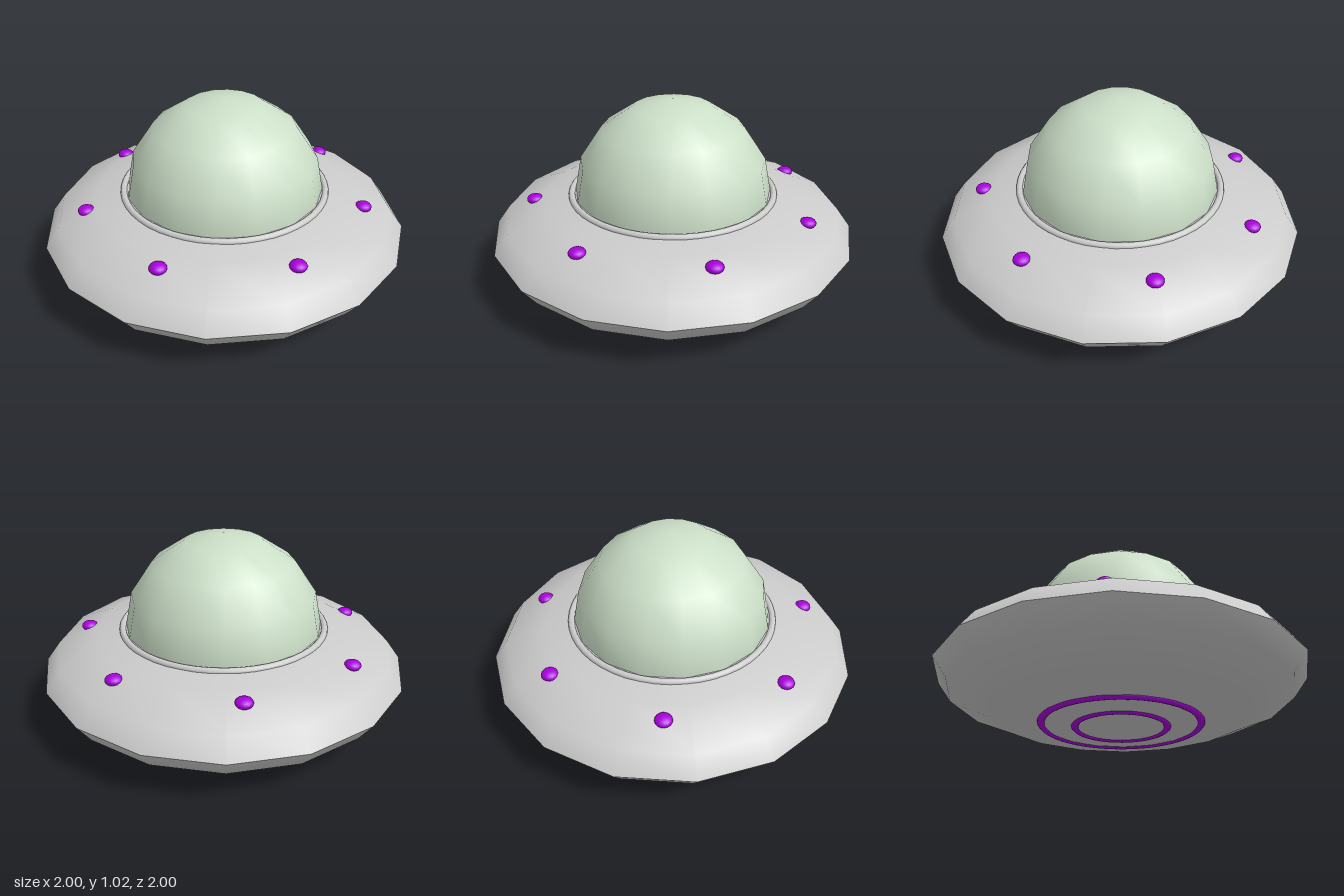
import * as THREE from 'three';

const SIDES = 16;

export function createModel() {
  const model = new THREE.Group();
  const grey = new THREE.MeshStandardMaterial({ color: 0xcccccc });
  const purple = new THREE.MeshStandardMaterial({ color: 0xaa00dd });
  const glass = new THREE.MeshStandardMaterial({ color: 0xccdfc8 });

  const add = (name, geometry, material, y = 0, parent = model) => {
    const mesh = new THREE.Mesh(geometry, material);
    mesh.name = name;
    mesh.position.y = y;
    parent.add(mesh);
    return mesh;
  };

  // Quarter-ellipse lathe from angle a0 up to a1; smooth, with a sharp rim where halves meet
  const shell = (radius, height, a0, a1) => {
    const points = [];
    for (let i = 0; i <= 4; i++) {
      const a = a0 + (a1 - a0) * i / 4;
      points.push(new THREE.Vector2(Math.max(0, Math.cos(a) * radius), Math.sin(a) * height));
    }
    return new THREE.LatheGeometry(points, SIDES);
  };

  // Flat horizontal ring
  const ring = (name, radius, tube, material, y) => {
    const geometry = new THREE.TorusGeometry(radius, tube, 12, 48);
    geometry.rotateX(Math.PI / 2);
    return add(name, geometry, material, y);
  };

  // Saucer hull in two halves
  add('upperHull', shell(1, 0.275, 0, Math.PI / 2), grey, 0.275);
  add('lowerHull', shell(1, 0.275, -Math.PI / 2, 0), grey, 0.275);

  // Cockpit dome and its collar
  const dome = new THREE.SphereGeometry(0.545, SIDES, 4, 0, Math.PI * 2, 0, Math.PI / 2);
  add('dome', dome, glass, 0.475);
  ring('domeCollar', 0.557, 0.018, grey, 0.495);

  // Seven lights around the upper hull, the first at the back
  const lights = new THREE.Group();
  lights.name = 'lights';
  model.add(lights);
  const bulb = new THREE.SphereGeometry(0.045, 16, 12);
  bulb.scale(1, 0.6, 1);
  for (let i = 0; i < 7; i++) {
    const a = i * Math.PI * 2 / 7;
    const light = add('light', bulb, purple, 0.445, lights);
    light.position.x = Math.sin(a) * 0.766;
    light.position.z = -Math.cos(a) * 0.766;
  }

  // Glowing rings under the hull
  ring('outerThrusterRing', 0.42, 0.022, purple, 0.038);
  ring('innerThrusterRing', 0.243, 0.022, purple, 0.025);

  return model;
}
